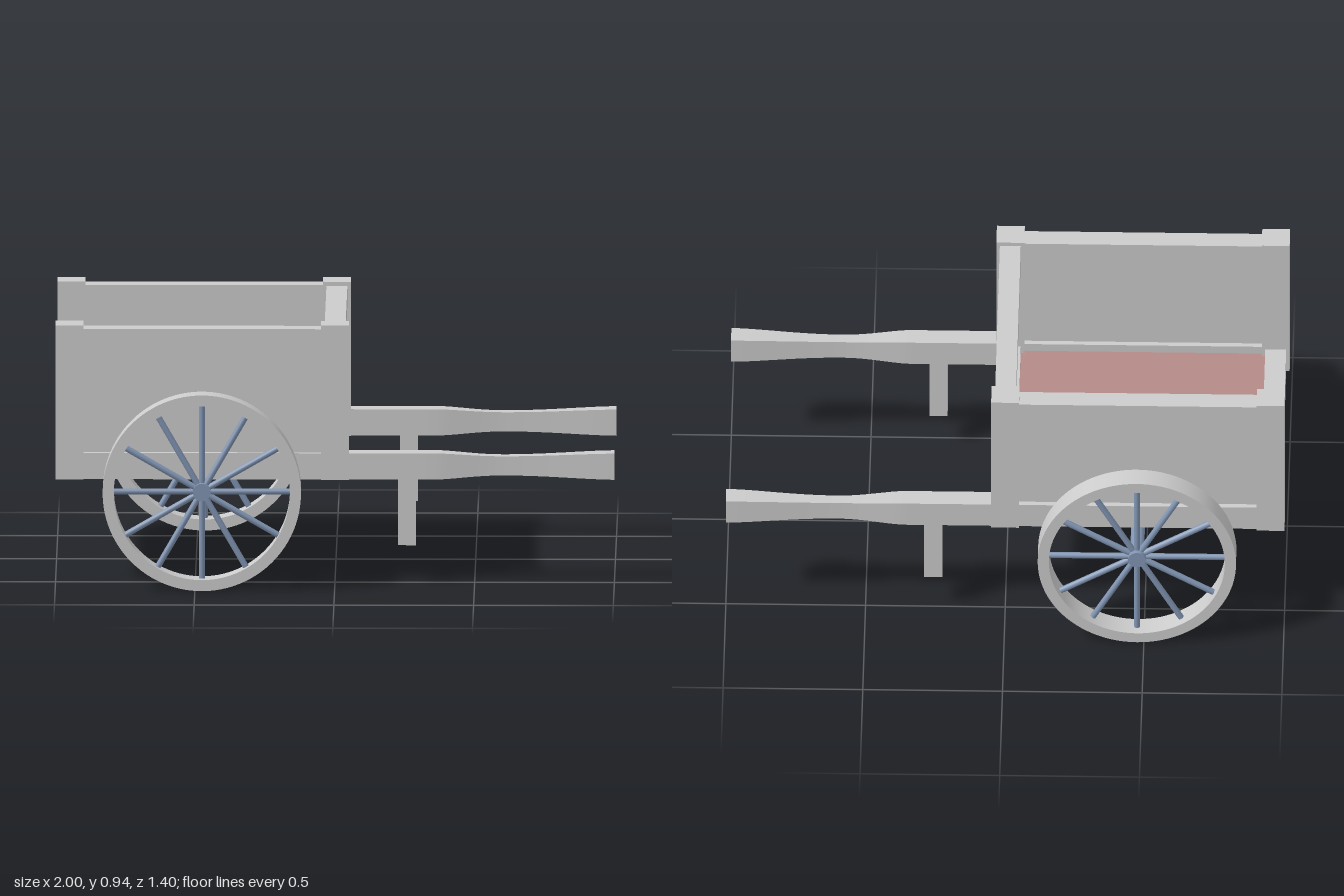
import * as THREE from 'three';

const grey = new THREE.MeshStandardMaterial({ color: 0xcccccc });
const red = new THREE.MeshStandardMaterial({ color: 0xb48a88 });
const blue = new THREE.MeshStandardMaterial({ color: 0x8296b4 });

function add(parent, name, geometry, material = grey) {
  const mesh = new THREE.Mesh(geometry, material);
  mesh.name = name;
  parent.add(mesh);
  return mesh;
}

// Box given by its lower and upper limits on each axis
function box(parent, name, [x0, x1], [y0, y1], [z0, z1], material) {
  const mesh = add(parent, name, new THREE.BoxGeometry(x1 - x0, y1 - y0, z1 - z0), material);
  mesh.position.set((x0 + x1) / 2, (y0 + y1) / 2, (z0 + z1) / 2);
  return mesh;
}

// Straight shaft whose grip narrows around x = 0.6
function handleGeometry() {
  const geo = new THREE.BoxGeometry(0.95, 0.095, 0.075, 38, 1, 1);
  geo.translate(0.525, 0, 0);
  const p = geo.attributes.position;
  for (let i = 0; i < p.count; i++) {
    const x = p.getX(i);
    const t = x < 0.6 ? (x - 0.36) / 0.24 : (1 - x) / 0.4;
    const waist = Math.sin(THREE.MathUtils.clamp(t, 0, 1) * Math.PI / 2) ** 1.5;
    p.setY(i, p.getY(i) * (1 - 0.27 * waist));
    p.setZ(i, p.getZ(i) * (1 - 0.4 * waist));
  }
  geo.computeVertexNormals();
  return geo;
}

// Flat rim, turned from a rectangular section, with hub and twelve spokes
function createWheel() {
  const wheel = new THREE.Group();
  const rimShape = new THREE.Shape().absarc(0, 0, 0.355, 0, Math.PI * 2);
  rimShape.holes.push(new THREE.Path().absarc(0, 0, 0.315, 0, Math.PI * 2, true));
  const rim = new THREE.ExtrudeGeometry(rimShape, { depth: 0.085, bevelEnabled: false, curveSegments: 48 });
  // Radial normals make the round faces smooth
  const p = rim.attributes.position, n = rim.attributes.normal;
  for (let i = 0; i < p.count; i++) {
    if (Math.abs(n.getZ(i)) > 0.5) continue;
    const r = Math.hypot(p.getX(i), p.getY(i));
    const s = r > 0.335 ? 1 : -1;
    n.setXYZ(i, s * p.getX(i) / r, s * p.getY(i) / r, 0);
  }
  add(wheel, 'rim', rim.translate(0, 0, -0.0425));

  add(wheel, 'hub', new THREE.CylinderGeometry(0.032, 0.032, 0.05, 24).rotateX(Math.PI / 2), blue);
  const spoke = new THREE.CylinderGeometry(0.011, 0.011, 0.31, 12).translate(0, 0.17, 0);
  for (let i = 0; i < 12; i++) {
    add(wheel, 'spoke', spoke, blue).rotation.z = i * Math.PI / 6;
  }
  return wheel;
}

export function createModel() {
  const cart = new THREE.Group();
  cart.name = 'handcart';
  const handle = handleGeometry();

  for (const s of [1, -1]) {
    const span = (a, b) => (s > 0 ? [a, b] : [-b, -a]);

    // Side wall: posts, rails and a recessed panel
    const side = new THREE.Group();
    side.name = s > 0 ? 'frontSide' : 'backSide';
    cart.add(side);
    for (const x of [-0.95, 0]) {
      box(side, 'cornerPost', [x - 0.05, x + 0.05], [0.38, 0.94], span(0.425, 0.525));
    }
    box(side, 'topRail', [-0.9, -0.05], [0.855, 0.925], span(0.44, 0.515));
    box(side, 'bottomRail', [-0.9, -0.05], [0.38, 0.475], span(0.44, 0.515));
    box(side, 'sidePanel', [-0.9, -0.05], [0.475, 0.855], span(0.46, 0.495));

    // Handle and prop leg
    add(side, 'handle', handle).position.set(0, 0.4275, s * 0.4775);
    box(side, 'propLeg', [0.225, 0.29], [0.14, 0.39], span(0.45, 0.505));

    const wheel = createWheel();
    wheel.name = 'wheel';
    wheel.position.set(-0.475, 0.36, s * 0.6575);
    cart.add(wheel);
  }

  // End wall beside the handles
  box(cart, 'endTopRail', [-0.0375, 0.0375], [0.855, 0.925], [-0.425, 0.425]);
  box(cart, 'endPanel', [-0.0175, 0.0175], [0.475, 0.855], [-0.425, 0.425]);
  box(cart, 'endBottomRail', [-0.0375, 0.0375], [0.38, 0.475], [-0.425, 0.425]);

  // Open end sill and recessed floor
  box(cart, 'openEndSill', [-0.9875, -0.9125], [0.38, 0.475], [-0.425, 0.425]);
  box(cart, 'floor', [-0.9125, -0.0375], [0.41, 0.445], [-0.44, 0.44], red);

  // Axle through both hubs
  const axle = add(cart, 'axle', new THREE.CylinderGeometry(0.025, 0.025, 1.3, 24).rotateX(Math.PI / 2), blue);
  axle.position.set(-0.475, 0.36, 0);

  return cart;
}
